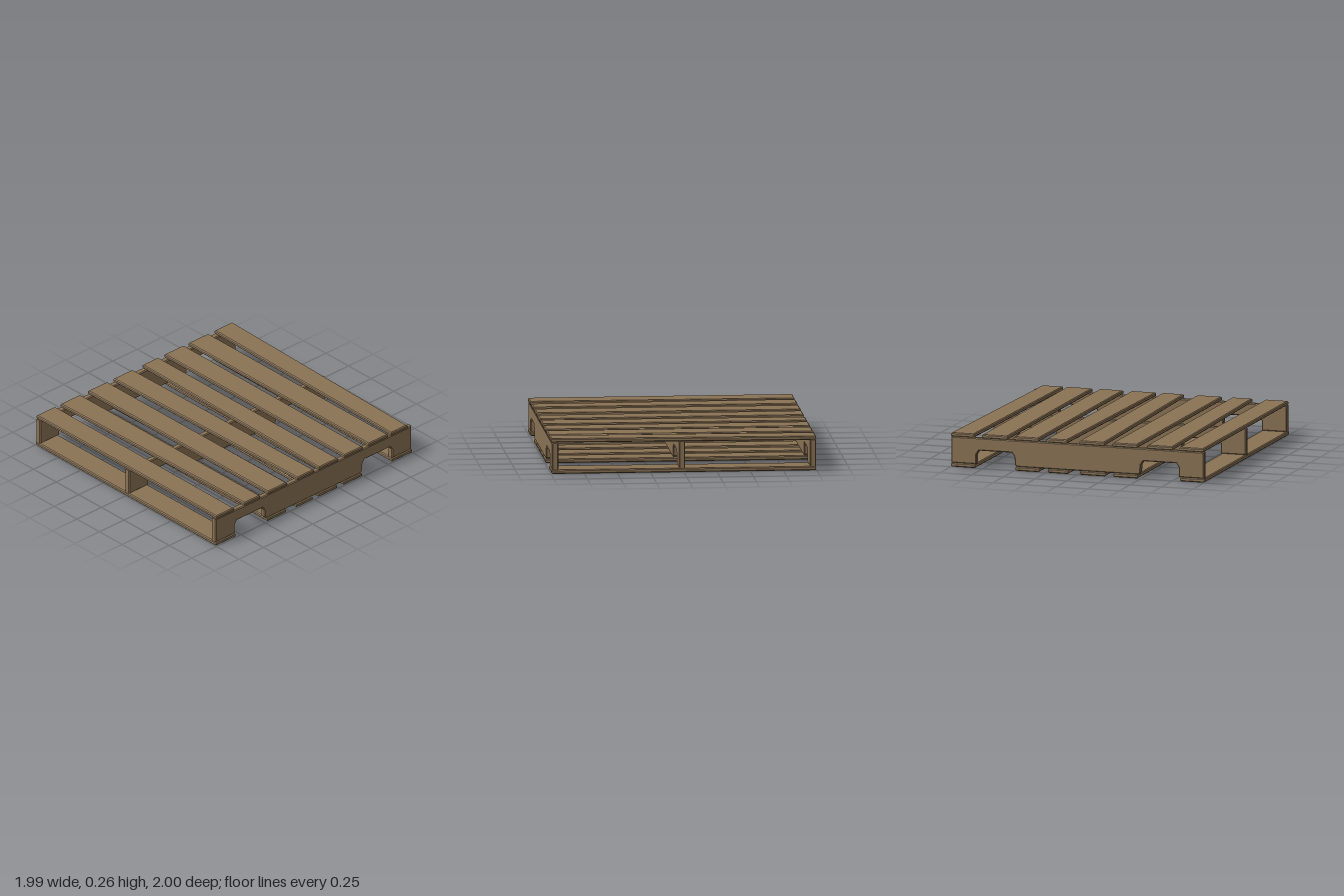
import * as THREE from 'three';

const wood = new THREE.MeshStandardMaterial({ color: 0x8b7355 });
wood.name = 'wood';

const BEVEL = 0.007;

// Extrudes an outline of [x, y] points, with chamfered edges kept inside the outline
function chamferedSlab(points, thickness) {
  const shape = new THREE.Shape(points.map(([x, y]) => new THREE.Vector2(x, y)));
  const geometry = new THREE.ExtrudeGeometry(shape, {
    depth: thickness - 2 * BEVEL,
    bevelEnabled: true,
    bevelThickness: BEVEL,
    bevelSize: BEVEL,
    bevelOffset: -BEVEL,
    bevelSegments: 1,
  });
  return geometry.translate(0, 0, BEVEL);
}

// Deck boards: z range at the x- end, then z range at the x+ end
const topBoards = [
  [-1.0, -0.82, -0.95, -0.785],
  [-0.755, -0.555, -0.755, -0.555],
  [-0.505, -0.31, -0.495, -0.31],
  [-0.245, -0.085, -0.245, -0.05],
  [0.015, 0.21, 0.0, 0.17],
  [0.275, 0.47, 0.275, 0.47],
  [0.55, 0.75, 0.55, 0.71],
  [0.805, 0.995, 0.815, 0.995],
];
const bottomBoards = [
  [-1.0, -0.81, -1.0, -0.795],
  [-0.49, -0.305, -0.49, -0.3],
  [-0.235, -0.075, -0.235, -0.045],
  [0.02, 0.22, 0.015, 0.18],
  [0.285, 0.475, 0.285, 0.475],
  [0.81, 1.0, 0.8, 1.0],
];

function board([a0, a1, b0, b1], topY, thickness, name) {
  const x = 0.995;
  const geometry = chamferedSlab([[-x, a0], [x, b0], [x, b1], [-x, a1]], thickness);
  geometry.rotateX(Math.PI / 2).translate(0, topY, 0);
  const mesh = new THREE.Mesh(geometry, wood);
  mesh.name = name;
  return mesh;
}

// Stringer side profile with two fork notches, listed as [z, y]
function stringer(x0, x1) {
  const low = 0.03, high = 0.232, notch = 0.135;
  const half = [
    [0.48, low], [0.497, 0.045], [0.5, 0.105], [0.52, notch],
    [0.78, notch], [0.8, 0.105], [0.8, low], [1, low], [1, high],
  ];
  const mirrored = half.map(([z, y]) => [-z, y]).reverse();
  const geometry = chamferedSlab([...mirrored, ...half], x1 - x0);
  geometry.rotateY(-Math.PI / 2).translate(x1, 0, 0);
  const mesh = new THREE.Mesh(geometry, wood);
  mesh.name = 'stringer';
  return mesh;
}

export function createModel() {
  const pallet = new THREE.Group();
  pallet.name = 'pallet';
  topBoards.forEach((b) => pallet.add(board(b, 0.26, 0.03, 'topBoard')));
  bottomBoards.forEach((b) => pallet.add(board(b, 0.031, 0.031, 'bottomBoard')));
  for (const [x0, x1] of [[-0.995, -0.948], [-0.01, 0.036], [0.945, 0.991]]) {
    pallet.add(stringer(x0, x1));
  }
  return pallet;
}
